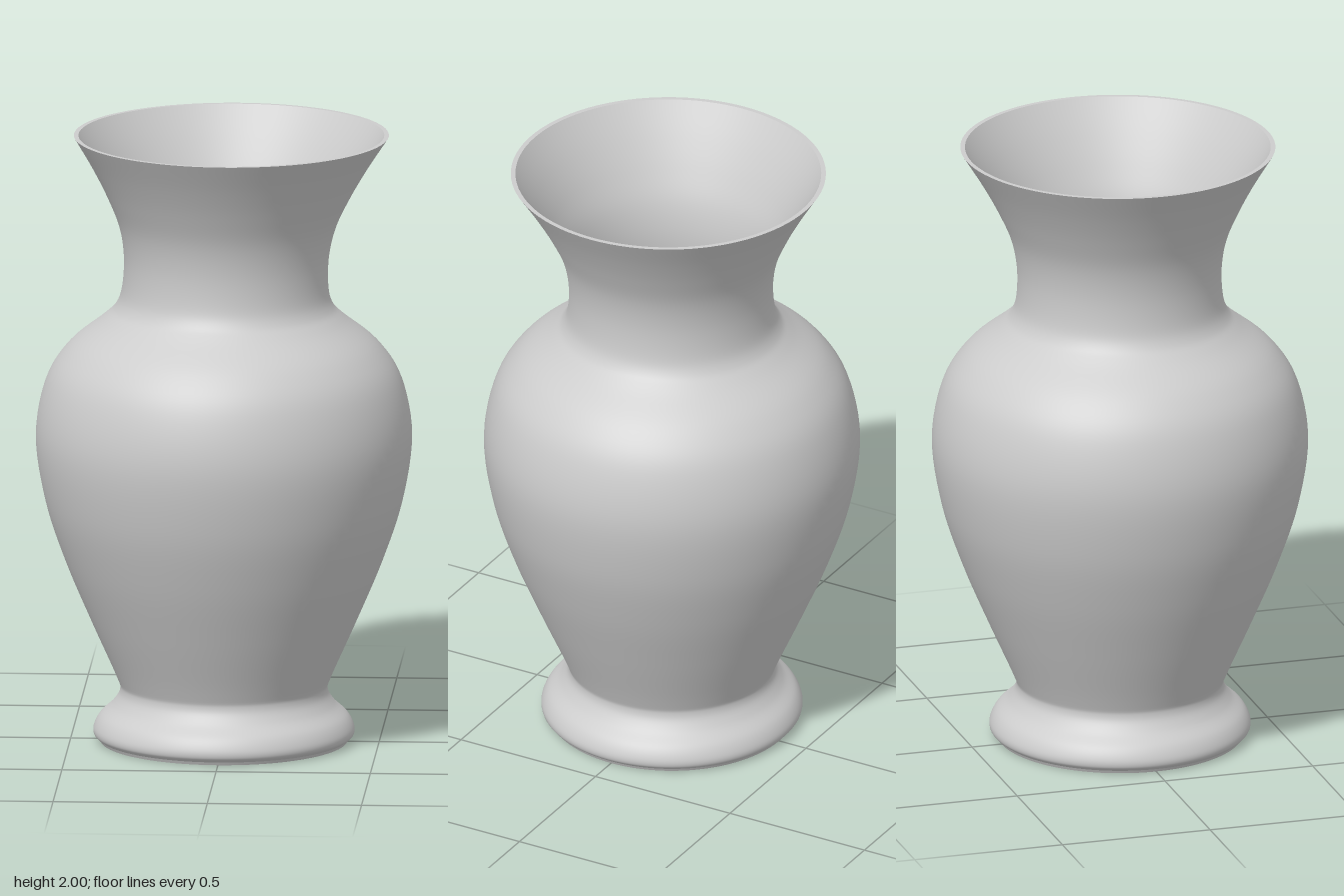
import * as THREE from 'three';

const SEGMENTS = 96;
const WALL = 0.015;
const FLOOR_Y = 0.1;

// Outer silhouette above the foot rim: [radius, height]
const PROFILE = [
  [0.405, 0.01], [0.421, 0.025], [0.421, 0.05], [0.402, 0.085], [0.36, 0.125], [0.336, 0.17],
  [0.35, 0.22], [0.43, 0.4], [0.514, 0.6], [0.579, 0.8], [0.609, 1.01], [0.577, 1.19],
  [0.505, 1.305], [0.395, 1.395], [0.352, 1.44], [0.334, 1.5], [0.332, 1.6],
  [0.351, 1.7], [0.394, 1.8], [0.448, 1.9], [0.51, 2],
].map(([r, y]) => new THREE.Vector2(r, y));

// The neck leans slightly towards +x
function lean(geometry) {
  const p = geometry.attributes.position;
  for (let i = 0; i < p.count; i++) {
    const t = Math.max(0, (p.getY(i) - 1.4) / 0.6);
    p.setX(i, p.getX(i) - 0.003 + 0.024 * t);
  }
  return geometry;
}

export function createModel() {
  const group = new THREE.Group();
  group.name = 'vase';
  const ceramic = new THREE.MeshStandardMaterial({ color: 0xcccccc });
  ceramic.name = 'pale grey ceramic';

  const add = (name, geometry) => {
    const mesh = new THREE.Mesh(lean(geometry), ceramic);
    mesh.name = name;
    group.add(mesh);
  };
  const lathe = (points) => new THREE.LatheGeometry(points, SEGMENTS);

  const outer = new THREE.SplineCurve(PROFILE).getPoints(120);

  // Inner wall: the silhouette moved inwards, running down from the lip to the floor
  const inner = outer
    .filter((p) => p.y > FLOOR_Y)
    .map((p) => new THREE.Vector2(p.x - WALL, p.y))
    .reverse();
  const floorRadius = inner[inner.length - 1].x;
  inner.push(new THREE.Vector2(floorRadius, FLOOR_Y));

  add('outerWall', lathe(outer));
  add('innerWall', lathe(inner));
  add('lip', lathe([outer[outer.length - 1], inner[0]]));
  add('footEdge', lathe([new THREE.Vector2(0.4, 0), outer[0]]));

  // Inside floor and underside
  add('innerFloor', new THREE.CircleGeometry(floorRadius, SEGMENTS).rotateX(-Math.PI / 2).translate(0, FLOOR_Y, 0));
  add('underside', new THREE.CircleGeometry(0.4, SEGMENTS).rotateX(Math.PI / 2));

  return group;
}
